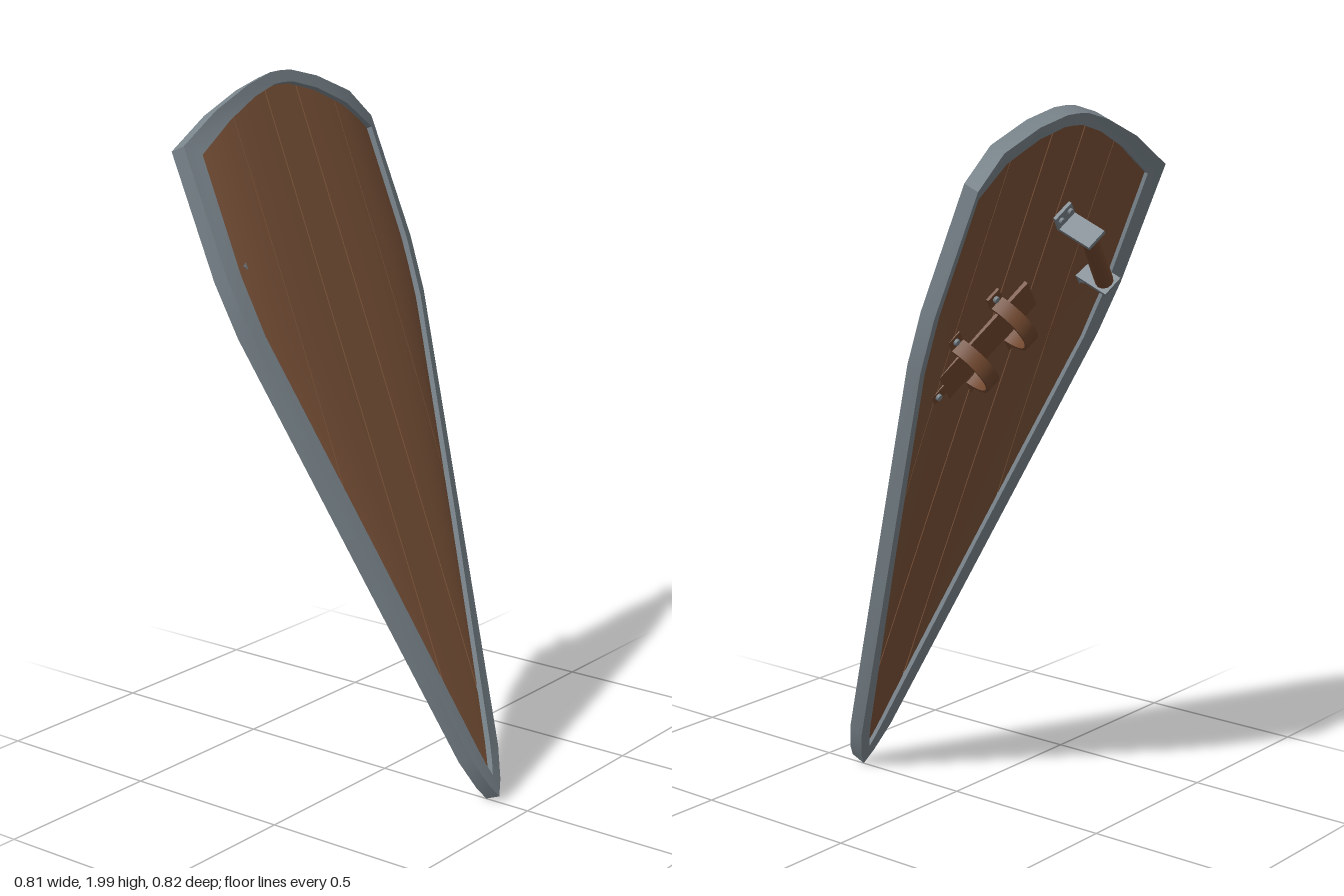
import * as THREE from 'three';
import { toCreasedNormals } from 'three/addons/utils/BufferGeometryUtils.js';

const wood = new THREE.MeshStandardMaterial({ color: 0x7a5238 });
wood.name = 'wood';
const iron = new THREE.MeshStandardMaterial({ color: 0x78838a });
iron.name = 'iron';
const leather = new THREE.MeshStandardMaterial({ color: 0x70472e });
leather.name = 'leather';

// The shield leans back by this angle; its face looks towards +x and up.
const LEAN = 0.393, C = Math.cos(LEAN), S = Math.sin(LEAN);

// Piecewise-linear lookup in [[key, value], ...]
function lookup(table, k) {
  if (k <= table[0][0]) return table[0][1];
  for (let i = 1; i < table.length; i++) {
    const [k0, v0] = table[i - 1], [k1, v1] = table[i];
    if (k <= k1) return v0 + (v1 - v0) * (k - k0) / (k1 - k0);
  }
  return table[table.length - 1][1];
}
const HALF_WIDTH = [[0, 0.01], [0.13, 0.065], [1.33, 0.39], [1.48, 0.41]];
const PLANK_TOP = [[0, 1.97], [0.04, 1.97], [0.15, 1.943], [0.28, 1.888], [0.39, 1.81]];
const PLANK_BOTTOM = [[0, 0.045], [0.05, 0.14], [0.37, 1.33], [0.39, 1.46]];

// Point on the bulging shield surface, moved d along the face normal
function surface(y, z, d) {
  const t = Math.min(1, Math.abs(z) / lookup(HALF_WIDTH, y));
  const n = 0.357 - 0.008 * y + 0.031 * y * (1 - t ** 4);
  return new THREE.Vector3((n - y * S) / C + d * C, y + d * S, z);
}

function add(parent, name, geometry, material, x = 0, y = 0, z = 0) {
  const mesh = new THREE.Mesh(geometry, material);
  mesh.name = name;
  mesh.position.set(x, y, z);
  parent.add(mesh);
  return mesh;
}

// A plank between two z positions, cut to the outline and bent to the surface
function plankGeometry(z0, z1) {
  const geo = new THREE.BoxGeometry(1, 1, 1, 1, 16, 6);
  const p = geo.attributes.position;
  for (let i = 0; i < p.count; i++) {
    const z = z0 + (p.getZ(i) + 0.5) * (z1 - z0);
    const top = lookup(PLANK_TOP, Math.abs(z)), bottom = lookup(PLANK_BOTTOM, Math.abs(z));
    const y = bottom + (p.getY(i) + 0.5) * (top - bottom);
    const v = surface(y, z, p.getX(i) * 0.018 - 0.003);
    p.setXYZ(i, v.x, v.y, v.z);
  }
  return toCreasedNormals(geo, 0.5);
}

// Rim: a four-cornered section carried round the outline
function rimGeometry() {
  // outer z, outer y, inner z, inner y
  const half = [
    [0, 1.987, 0, 1.955], [0.045, 1.985, 0.04, 1.953], [0.15, 1.96, 0.135, 1.928],
    [0.29, 1.905, 0.255, 1.875], [0.41, 1.82, 0.37, 1.795], [0.41, 1.48, 0.37, 1.48],
    [0.39, 1.33, 0.35, 1.32], [0.228, 0.73, 0.189, 0.73], [0.065, 0.13, 0.031, 0.155],
    [0.028, 0.05, 0.015, 0.105], [0, 0.011, 0, 0.07],
  ];
  const mirrored = half.slice(1, -1).reverse().map(([a, b, c, d]) => [-a, b, -c, d]);
  const rings = [...half, ...mirrored].map(([oz, oy, iz, iy]) => [
    surface(oy, oz, 0.024), surface(oy, oz, -0.024),
    surface(iy, iz, -0.024), surface(iy, iz, 0.024),
  ]);
  const points = [];
  rings.forEach((a, i) => {
    const b = rings[(i + 1) % rings.length];
    for (let k = 0; k < 4; k++) {
      const m = (k + 1) % 4;
      points.push(a[k], a[m], b[m], a[k], b[m], b[k]);
    }
  });
  const geo = new THREE.BufferGeometry().setFromPoints(points);
  return toCreasedNormals(geo, 0.4);
}

// Arched strap standing on the back, with its opening along local x
function strapGeometry() {
  const shape = new THREE.Shape();
  shape.moveTo(0.09, 0);
  shape.absellipse(0, 0, 0.09, 0.11, 0, Math.PI, false);
  shape.lineTo(-0.081, 0);
  shape.absellipse(0, 0, 0.081, 0.101, Math.PI, 0, true);
  const geo = new THREE.ExtrudeGeometry(shape, { depth: 0.045, bevelEnabled: false, curveSegments: 12 });
  geo.translate(0, 0, -0.0225);
  geo.applyMatrix4(new THREE.Matrix4().makeBasis(
    new THREE.Vector3(0, 1, 0), new THREE.Vector3(0, 0, 1), new THREE.Vector3(1, 0, 0)));
  return toCreasedNormals(geo, 0.6);
}

// Fittings on the back: local x along the forearm to the hand, z away from the wood
function createArmFittings() {
  const g = new THREE.Group();
  g.name = 'armFittings';
  const up = new THREE.Vector3(-S, C, 0), side = new THREE.Vector3(0, 0, 1);
  const back = new THREE.Vector3(-C, -S, 0);
  const along = up.clone().add(side).normalize();
  const across = back.clone().cross(along);
  g.quaternion.setFromRotationMatrix(new THREE.Matrix4().makeBasis(along, across, back));
  g.position.copy(surface(1.45, 0.03, -0.012));

  const rivet = new THREE.CylinderGeometry(0.009, 0.011, 0.01, 8).rotateX(Math.PI / 2);
  add(g, 'armPad', new THREE.BoxGeometry(0.36, 0.11, 0.012), leather, -0.13, 0, 0.004);

  // Forearm straps with riveted feet
  for (const x of [-0.06, -0.22]) {
    add(g, 'armStrap', strapGeometry(), leather, x, 0.01, 0);
    for (const s of [-1, 1]) {
      add(g, 'strapFoot', new THREE.BoxGeometry(0.045, 0.045, 0.008), leather, x, 0.01 + s * 0.106, 0.004);
      add(g, 'strapRivet', rivet, iron, x, 0.01 + s * 0.108, 0.011);
    }
  }
  add(g, 'strapEnd', new THREE.BoxGeometry(0.05, 0.035, 0.012), leather, -0.335, 0, 0.006);
  add(g, 'strapEndRivet', rivet, iron, -0.34, 0, 0.015);

  // Hand grip between two iron brackets
  add(g, 'handGrip', new THREE.CylinderGeometry(0.026, 0.026, 0.23, 12), leather, 0.235, 0, 0.085);
  for (const s of [-1, 1]) {
    add(g, 'gripBracket', new THREE.BoxGeometry(0.065, 0.012, 0.118), iron, 0.235, s * 0.118, 0.058);
    add(g, 'bracketFoot', new THREE.BoxGeometry(0.065, 0.05, 0.01), iron, 0.235, s * 0.145, 0.005);
    for (const d of [-0.018, 0.018]) {
      add(g, 'bracketRivet', rivet, iron, 0.235 + d, s * 0.148, 0.013);
    }
  }
  return g;
}

export function createModel() {
  const model = new THREE.Group();
  model.name = 'kiteShield';

  // Five planks with narrow gaps beside the middle one
  const planks = [[-0.39, -0.222], [-0.22, -0.07], [-0.066, 0.066], [0.07, 0.22], [0.222, 0.39]];
  for (const [z0, z1] of planks) add(model, 'plank', plankGeometry(z0, z1), wood);

  add(model, 'rim', rimGeometry(), iron);
  model.add(createArmFittings());
  return model;
}
